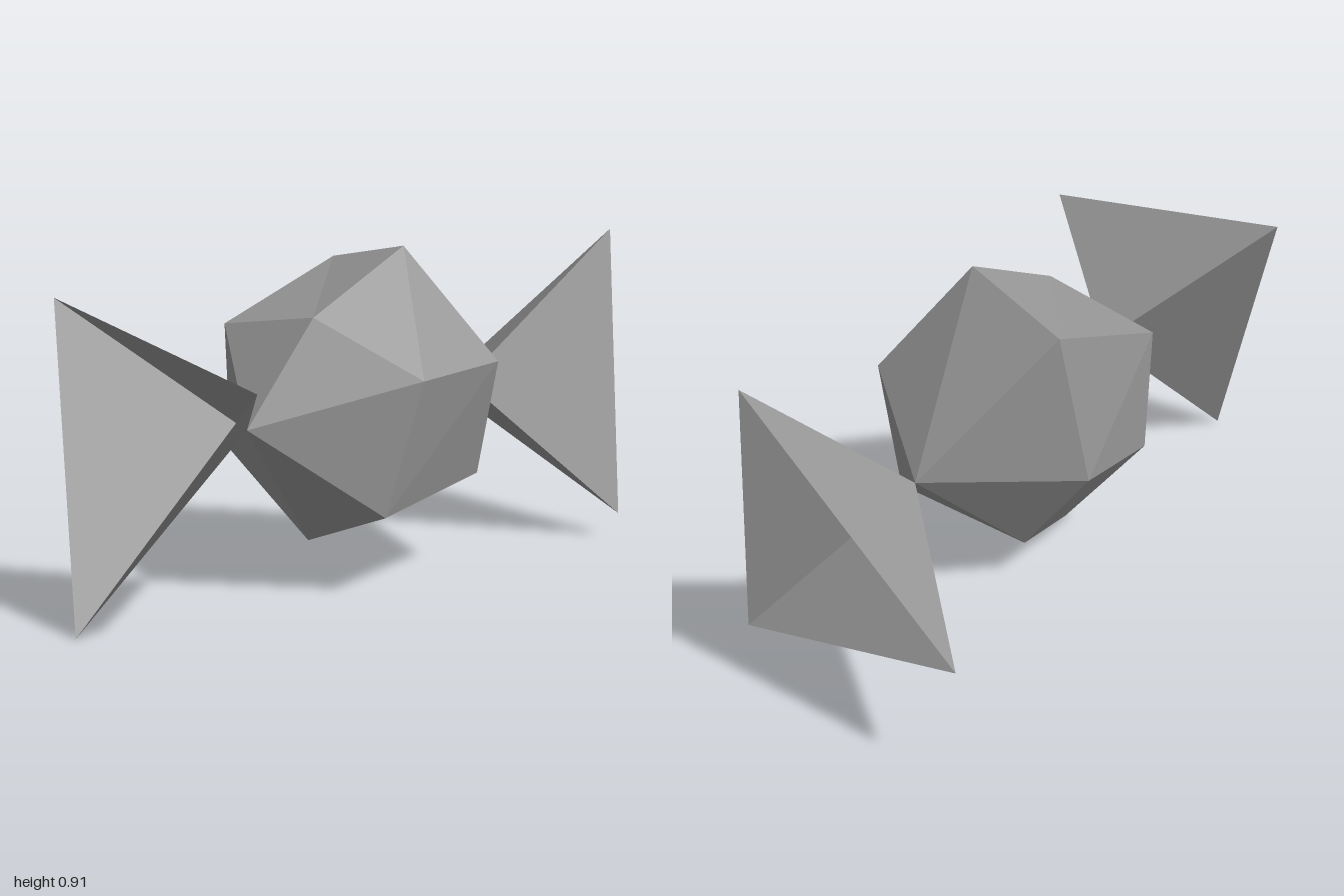
import * as THREE from 'three';

// Low-poly wrapped sweet: faceted centre with two open, twisted wrapper ends.
const tipLeft = [0.484, 0.468, 0.023];
const tipRight = [-0.486, 0.468, 0.023];

// Six-sided rings of the centre, in matching order around the x axis
const ringLeft = [
  [0.07, 0.906, 0.109], [0.19, 0.596, 0.343], [0.23, 0.267, 0.247],
  [0.1, 0.116, -0.074], [0.108, 0.383, -0.282], [0.205, 0.84, -0.245],
];
const ringRight = [
  [-0.28, 0.745, 0.078], [-0.16, 0.588, 0.353], [-0.22, 0.222, 0.273],
  [-0.12, 0.092, -0.074], [-0.213, 0.336, -0.274], [-0.22, 0.69, -0.286],
];

// Open rims of the wrapper ends
const rimLeft = [[0.932, 0.888, 0.225], [0.78, 0.07, 0.368], [1, 0.341, -0.442]];
const rimRight = [[-0.932, 0.671, 0.443], [-0.78, 0.813, -0.376], [-1, 0, -0.102]];

function facetMesh(name, triangles, side) {
  const geometry = new THREE.BufferGeometry();
  geometry.setAttribute('position', new THREE.Float32BufferAttribute(triangles.flat(2), 3));
  geometry.computeVertexNormals();
  const material = new THREE.MeshStandardMaterial({ color: 0x999999, flatShading: true, side });
  const mesh = new THREE.Mesh(geometry, material);
  mesh.name = name;
  return mesh;
}

// Triangles joining a tip to a closed loop of points
function fan(tip, loop) {
  return loop.map((p, i) => [tip, p, loop[(i + 1) % loop.length]]);
}

// Triangles joining two matching loops
function band(a, b) {
  return a.flatMap((p, i) => {
    const j = (i + 1) % a.length;
    return [[p, b[i], b[j]], [p, b[j], a[j]]];
  });
}

export function createModel() {
  const group = new THREE.Group();
  group.name = 'wrappedSweet';
  group.add(
    facetMesh('sweetCentre', [
      ...fan(tipLeft, ringLeft),
      ...band(ringLeft, ringRight),
      ...fan(tipRight, [...ringRight].reverse()),
    ], THREE.FrontSide),
    facetMesh('leftWrapperEnd', fan(tipLeft, [...rimLeft].reverse()), THREE.DoubleSide),
    facetMesh('rightWrapperEnd', fan(tipRight, [...rimRight].reverse()), THREE.DoubleSide),
  );
  return group;
}
